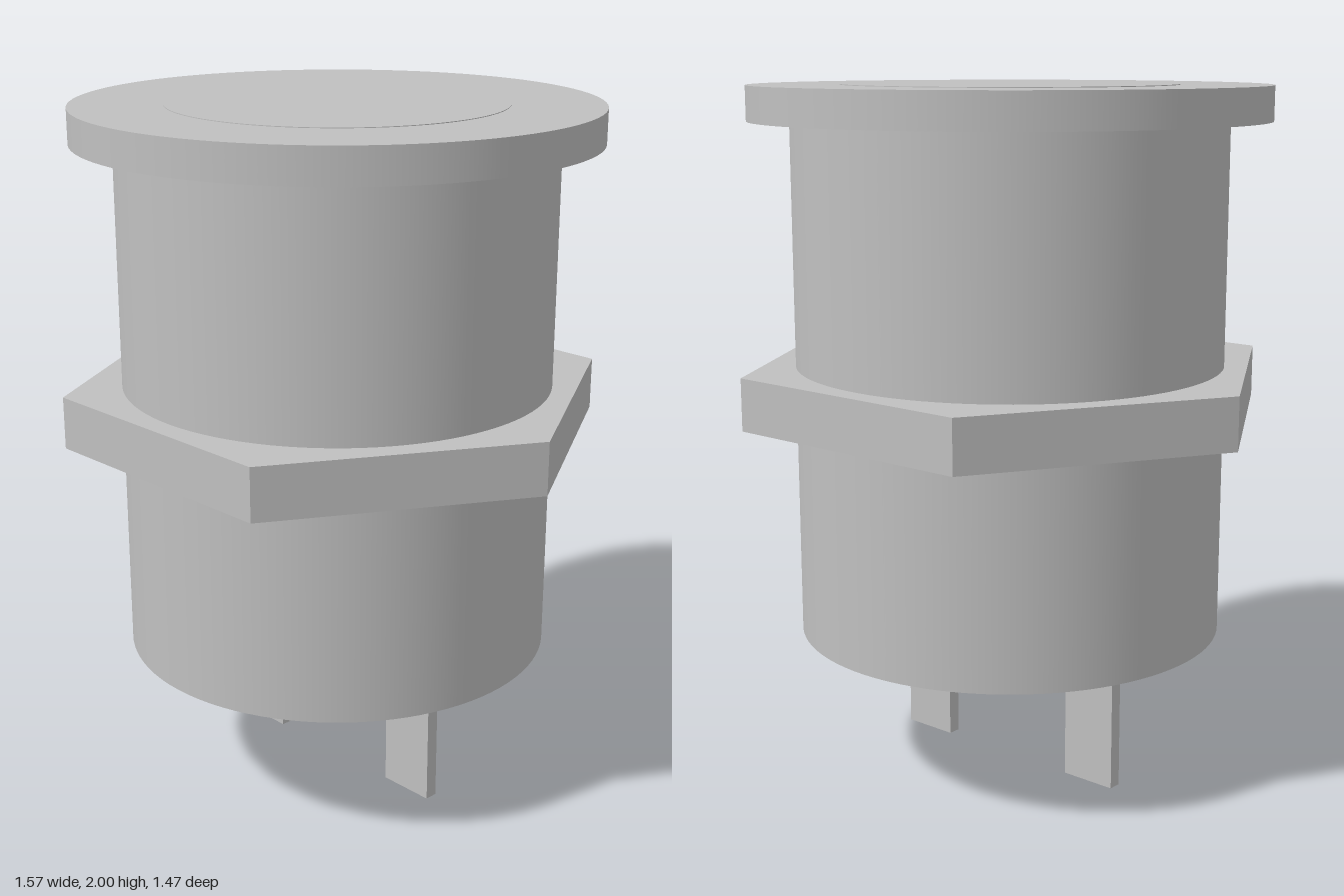
import * as THREE from 'three';

export function createModel() {
  const group = new THREE.Group();
  group.name = 'panelIndicator';
  const grey = new THREE.MeshStandardMaterial({ color: 0xc0c0c0 });
  grey.name = 'light grey';

  const add = (name, geometry, x, y) => {
    const mesh = new THREE.Mesh(geometry, grey);
    mesh.name = name;
    mesh.position.set(x, y, 0);
    group.add(mesh);
  };
  // Upright cylinder between two heights
  const disc = (name, radius, y0, y1) =>
    add(name, new THREE.CylinderGeometry(radius, radius, y1 - y0, 96), 0, (y0 + y1) / 2);

  disc('body', 0.617, 0.425, 1.91);
  disc('flange', 0.735, 1.9, 1.998);
  disc('lens', 0.475, 1.99, 2);

  // Hexagonal nut with corners on the x axis, flat sides
  const nut = new THREE.CylinderGeometry(0.787, 0.787, 0.15, 6, 1, false, Math.PI / 2).toNonIndexed();
  nut.computeVertexNormals();
  add('hexNut', nut, 0, 1.135);

  // Pair of flat terminals
  for (const [name, side] of [['leftTerminal', 1], ['rightTerminal', -1]]) {
    add(name, new THREE.BoxGeometry(0.17, 0.43, 0.038), side * 0.315, 0.215);
  }
  return group;
}
